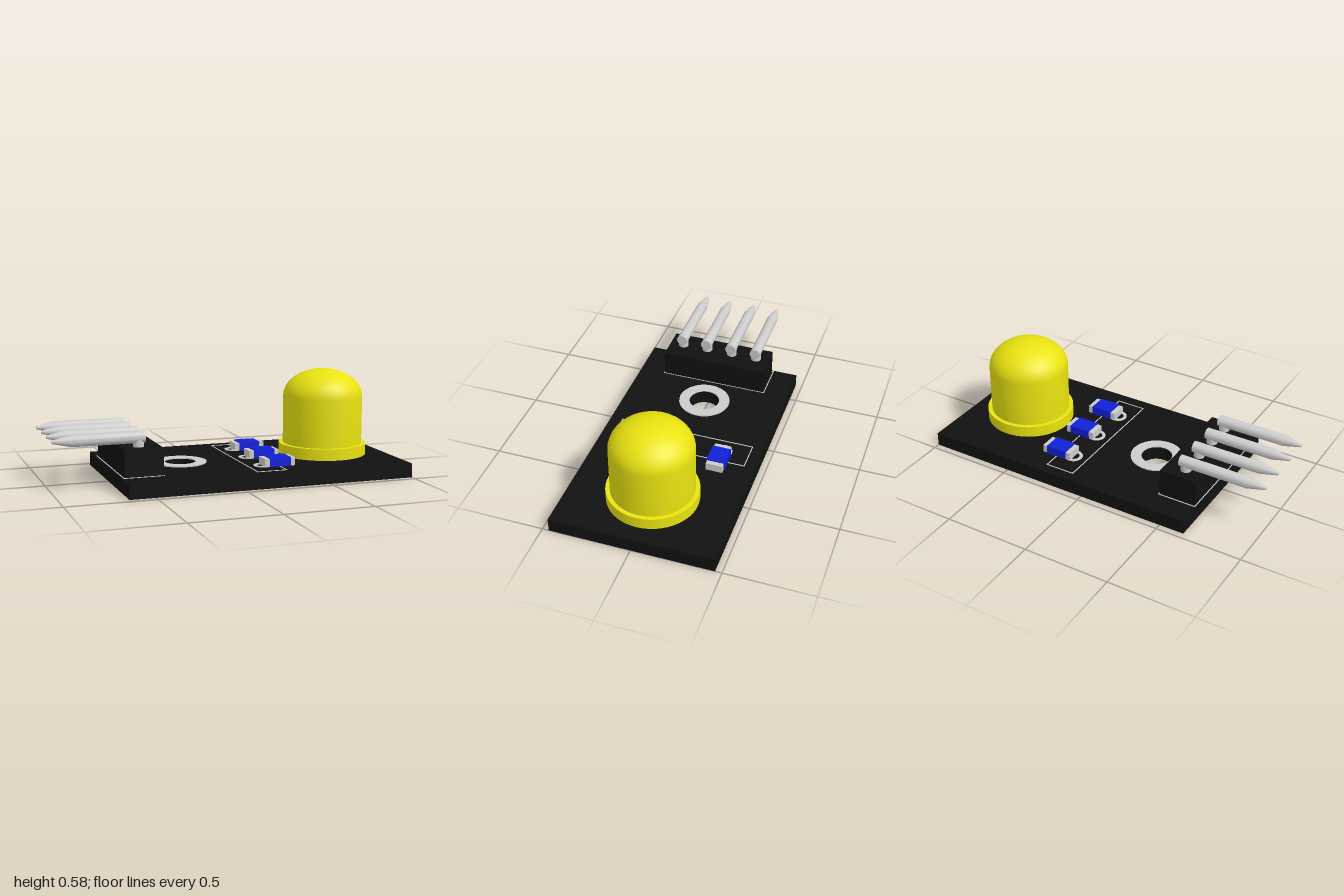
import * as THREE from 'three';
import { toCreasedNormals } from 'three/addons/utils/BufferGeometryUtils.js';

const mat = (color) => new THREE.MeshStandardMaterial({ color });
const black = mat(0x111111), grey = mat(0xcccccc), yellow = mat(0xe8e210), blue = mat(0x1020d8);
const TOP = 0.08; // upper face of the board

export function createModel() {
  const model = new THREE.Group();

  const add = (name, geometry, material, x = 0, y = 0, z = 0, parent = model) => {
    const mesh = new THREE.Mesh(geometry, material);
    mesh.name = name;
    mesh.position.set(x, y, z);
    parent.add(mesh);
    return mesh;
  };
  const box = (name, w, h, d, material, x, y, z, parent) =>
    add(name, new THREE.BoxGeometry(w, h, d), material, x, y, z, parent);

  // Rectangle in x and z, drawn counter-clockwise
  const rect = (x0, x1, z0, z1) => new THREE.Shape(
    [[x0, z0], [x1, z0], [x1, z1], [x0, z1]].map(([x, z]) => new THREE.Vector2(x, -z)).reverse());
  const circle = (x, z, r) => new THREE.Path().absarc(x, -z, r, 0, Math.PI * 2, true);
  // Flat plate lying in xz, extruded upwards
  const plate = (shape, height) => toCreasedNormals(
    new THREE.ExtrudeGeometry(shape, { depth: height, bevelEnabled: false, curveSegments: 24 })
      .rotateX(-Math.PI / 2), 0.6);
  const ring = (outer, inner, height) => {
    const shape = new THREE.Shape().absarc(0, 0, outer, 0, Math.PI * 2, false);
    shape.holes.push(circle(0, 0, inner));
    return plate(shape, height);
  };

  // Circuit board with a mounting hole
  const hole = { x: -0.225, z: -0.005, r: 0.088 };
  const boardShape = rect(-0.645, 1, -0.463, 0.463);
  boardShape.holes.push(circle(hole.x, hole.z, hole.r));
  add('circuitBoard', plate(boardShape, TOP), black);
  add('mountingRing', ring(0.15, hole.r, 0.006), grey, hole.x, TOP, hole.z);

  // Thin printed outlines
  const outline = (name, x0, x1, z0, z1) => {
    const t = 0.005;
    const shape = rect(x0, x1, z0, z1);
    shape.holes.push(rect(x0 + t, x1 - t, z0 + t, z1 - t));
    add(name, plate(shape, 0.003), grey, 0, TOP, 0);
  };
  outline('headerOutline', -0.637, -0.409, -0.322, 0.317);
  outline('resistorOutline', 0.092, 0.268, -0.4, 0.394);

  // Pin header with four right-angled pins
  box('headerBlock', 0.218, 0.152, 0.62, black, -0.521, TOP + 0.076, 0);
  const pinProfile = [[0, 0], [0.032, 0], [0.032, 0.4], [0.009, 0.503], [0, 0.503]]
    .map(([r, y]) => new THREE.Vector2(r, y));
  const pinGeometry = toCreasedNormals(
    new THREE.LatheGeometry(pinProfile, 24).rotateZ(Math.PI / 2), 0.15 * Math.PI);
  const postGeometry = new THREE.CylinderGeometry(0.03, 0.03, 0.075, 24);
  for (const z of [-0.232, -0.079, 0.075, 0.228]) {
    const pin = new THREE.Group();
    pin.name = 'pin';
    add('pinShaft', pinGeometry, grey, -0.497, 0.284, 0, pin);
    add('pinPost', postGeometry, grey, -0.53, 0.2575, 0, pin);
    pin.position.z = z;
    model.add(pin);
  }

  // Surface-mount resistors, each with a solder ring
  const solderRing = ring(0.052, 0.034, 0.005);
  for (const z of [-0.25, -0.004, 0.241]) {
    const resistor = new THREE.Group();
    resistor.name = 'resistor';
    box('resistorBody', 0.124, 0.05, 0.106, blue, 0.268, TOP + 0.025, 0, resistor);
    for (const x of [0.193, 0.343])
      box('resistorEndCap', 0.03, 0.045, 0.096, grey, x, TOP + 0.0225, 0, resistor);
    add('solderRing', solderRing, grey, 0.182, TOP, 0, resistor);
    resistor.position.z = z;
    model.add(resistor);
  }

  // Domed lamp with a flange at its foot
  const lamp = [[0, TOP], [0.255, TOP], [0.255, 0.146], [0.231, 0.146], [0.231, 0.42]];
  for (let i = 1; i <= 14; i++) {
    const a = (i / 14) * Math.PI / 2;
    lamp.push([i === 14 ? 0 : 0.231 * Math.cos(a), 0.42 + 0.16 * Math.sin(a)]);
  }
  const lampGeometry = new THREE.LatheGeometry(lamp.map(([r, y]) => new THREE.Vector2(r, y)), 48);
  add('lamp', toCreasedNormals(lampGeometry, 0.7), yellow, 0.65, 0, 0);

  return model;
}
